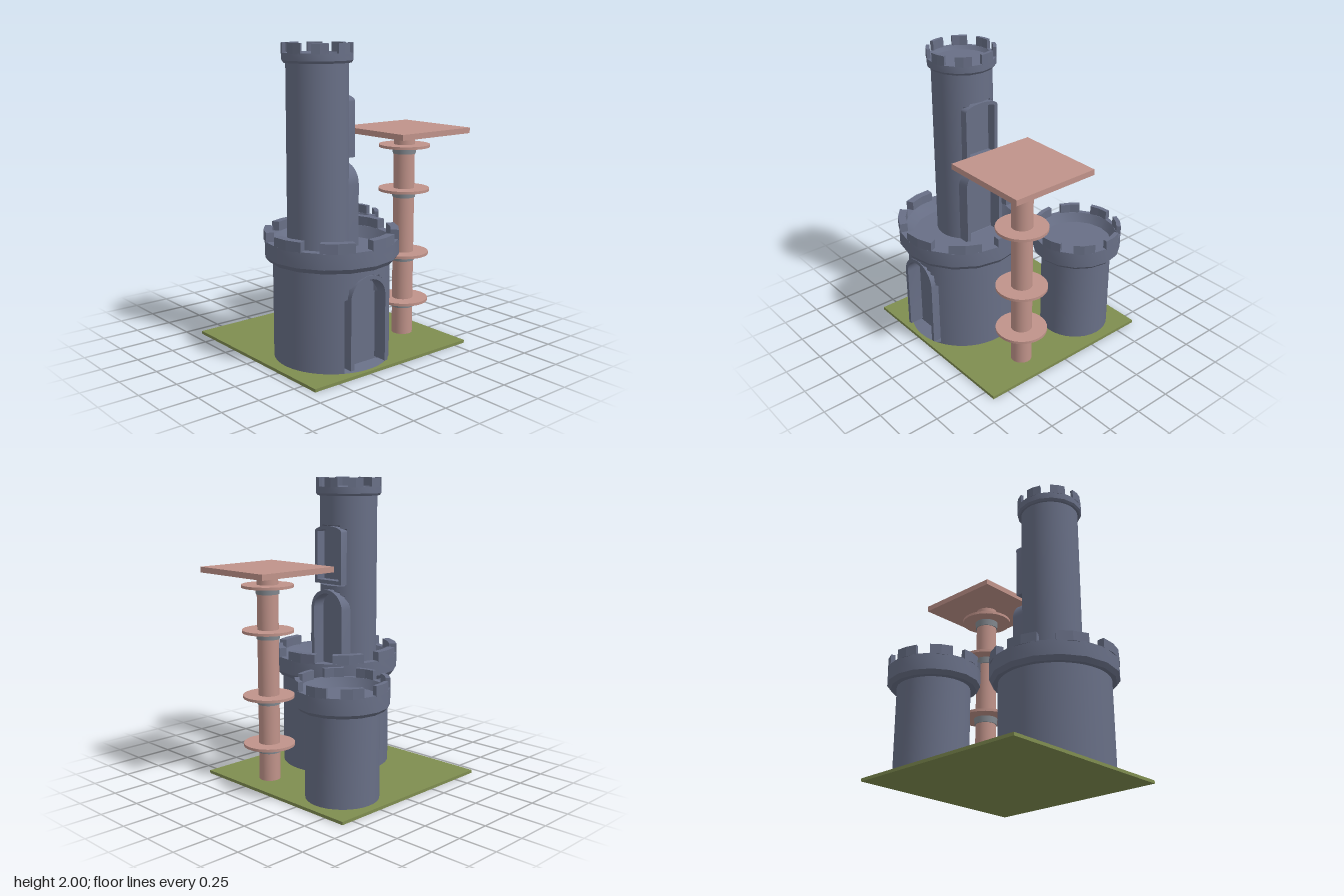
import * as THREE from 'three';
import { toCreasedNormals } from 'three/addons/utils/BufferGeometryUtils.js';

const flat = (name, color) => {
  const m = new THREE.MeshStandardMaterial({ color });
  m.name = name;
  return m;
};

export function createModel() {
  const stone = flat('slateStone', 0x686f86);
  const grass = flat('grassGreen', 0x7f8d50);
  const wood = flat('pinkWood', 0xc0938a);
  const metal = flat('greyMetal', 0x858b92);

  const model = new THREE.Group();
  model.name = 'castle';
  const add = (parent, name, geo, mat, x = 0, y = 0, z = 0) => {
    const mesh = new THREE.Mesh(geo, mat);
    mesh.name = name;
    mesh.position.set(x, y, z);
    parent.add(mesh);
    return mesh;
  };

  // Arched outline: straight sides from y0 to spring, half ellipse up to top
  const archPoints = (hw, y0, spring, top) => {
    const pts = [new THREE.Vector2(-hw, y0), new THREE.Vector2(hw, y0)];
    for (let i = 0; i <= 16; i++) {
      const a = (i / 16) * Math.PI;
      pts.push(new THREE.Vector2(Math.cos(a) * hw, spring + Math.sin(a) * (top - spring)));
    }
    return pts;
  };

  // Raised surround facing +z, with or without a sill
  const frameGeometry = (o) => {
    const t = 0.025;
    const inner = archPoints(o.hw - t, o.y0 + (o.sill ? t : 0), o.spring, o.top - t);
    let shape;
    if (o.sill) {
      shape = new THREE.Shape(archPoints(o.hw, o.y0, o.spring, o.top));
      shape.holes.push(new THREE.Path(inner));
    } else {
      const outer = archPoints(o.hw, o.y0, o.spring, o.top);
      shape = new THREE.Shape([...outer.slice(1), outer[0], inner[0], ...inner.slice(1).reverse()]);
    }
    const geo = new THREE.ExtrudeGeometry(shape, { depth: o.front - o.back, bevelEnabled: false });
    geo.translate(0, 0, o.back);
    return toCreasedNormals(geo, 0.5);
  };

  // Round wall whose surface is pressed back flat inside each opening
  const wallGeometry = (r, y0, y1, openings) => {
    const carved = openings.length > 0;
    const geo = new THREE.CylinderGeometry(r, r, y1 - y0, carved ? 80 : 32, carved ? 56 : 1, true);
    geo.translate(0, (y0 + y1) / 2, 0);
    const p = geo.attributes.position;
    for (let i = 0; i < p.count; i++) {
      const x = p.getX(i), y = p.getY(i), z = p.getZ(i);
      for (const o of openings) {
        const hw = o.hw - 0.008;
        if (z < 0 || Math.abs(x) > hw || y < (o.sill ? o.y0 : y0)) continue;
        const roof = o.spring + (o.top - 0.008 - o.spring) * Math.sqrt(1 - (x / hw) ** 2);
        if (y < roof) p.setZ(i, Math.min(z, o.back));
      }
    }
    return toCreasedNormals(geo, 0.6);
  };

  // Tower: wall, openings, flared crown with floor, and merlons
  const tower = (name, t) => {
    const group = new THREE.Group();
    group.name = name;
    group.position.set(t.x, 0, t.z);
    model.add(group);

    const walls = new THREE.Group();
    walls.name = name + 'Walls';
    walls.rotation.y = t.turn;
    group.add(walls);
    add(walls, 'wall', wallGeometry(t.r, t.base, t.crown + 0.02, t.openings), stone);
    for (const o of t.openings) add(walls, o.name, frameGeometry(o), stone);

    const profile = [
      [t.r - 0.01, t.crown], [t.r + (t.outer - t.r) * 0.6, t.crown],
      [t.outer, t.crown + t.flare], [t.outer, t.notch],
      [t.inner, t.notch], [t.floorR, t.floor], [0, t.floor],
    ].map(([a, b]) => new THREE.Vector2(a, b));
    const crown = new THREE.LatheGeometry(profile, 16);
    add(group, 'crown', toCreasedNormals(crown, 0.6), stone);

    const span = (t.span * Math.PI) / 180;
    for (let i = 0; i < 8; i++) {
      const mid = ((i + 0.25) * Math.PI) / 4;
      const arc = (r, s) => [-1, 0, 1].map((k) => {
        const a = mid + (s * k * span) / 2;
        return new THREE.Vector2(Math.cos(a) * r, Math.sin(a) * r);
      });
      const shape = new THREE.Shape([...arc(t.outer, 1), ...arc(t.inner, -1)]);
      const geo = new THREE.ExtrudeGeometry(shape, {
        depth: t.top - t.notch + 0.005, bevelEnabled: false,
      });
      geo.rotateX(-Math.PI / 2);
      add(group, 'merlon', geo, stone, 0, t.notch - 0.005, 0);
    }
  };

  // Ground slab
  add(model, 'ground', new THREE.BoxGeometry(1.27, 0.02, 1.27), grass, -0.015, 0.01, 0.05);

  tower('mainTower', {
    x: 0.223, z: 0.24, r: 0.37, base: 0.02, crown: 0.66, flare: 0.03, outer: 0.427, inner: 0.375,
    notch: 0.79, top: 0.85, floorR: 0.33, floor: 0.72, span: 29, turn: Math.PI / 2,
    openings: [{ name: 'doorFrame', hw: 0.15, y0: 0.045, spring: 0.48, top: 0.62, back: 0.275, front: 0.373 }],
  });
  tower('smallTower', {
    x: -0.355, z: -0.285, r: 0.235, base: 0.02, crown: 0.6, flare: 0.025, outer: 0.297, inner: 0.267,
    notch: 0.73, top: 0.79, floorR: 0.235, floor: 0.67, span: 28, turn: 0, openings: [],
  });
  tower('tallTower', {
    x: 0.15, z: 0.29, r: 0.195, base: 0.7, crown: 1.88, flare: 0.015, outer: 0.222, inner: 0.2,
    notch: 1.94, top: 2, floorR: 0.183, floor: 1.915, span: 27, turn: Math.PI,
    openings: [
      { name: 'rearDoorFrame', hw: 0.145, y0: 0.71, spring: 1.12, top: 1.25, back: 0.125, front: 0.215 },
      { name: 'rearWindowFrame', hw: 0.125, y0: 1.29, spring: 1.64, top: 1.68, back: 0.135, front: 0.2, sill: true },
    ],
  });

  // Lookout post with discs, collars and a square platform
  const post = new THREE.Group();
  post.name = 'lookoutPost';
  post.position.set(0.222, 0, -0.387);
  model.add(post);
  add(post, 'pole', new THREE.CylinderGeometry(0.07, 0.07, 1.39, 32), wood, 0, 0.715, 0);
  for (const y of [0.26, 0.587, 1.023, 1.317]) {
    add(post, 'disc', new THREE.CylinderGeometry(0.17, 0.17, 0.018, 32), wood, 0, y, 0);
    add(post, 'collar', new THREE.CylinderGeometry(0.08, 0.076, 0.044, 32), metal, 0, y - 0.031, 0);
  }
  add(post, 'platform', new THREE.BoxGeometry(0.605, 0.037, 0.605), wood, 0, 1.421, 0);

  return model;
}
